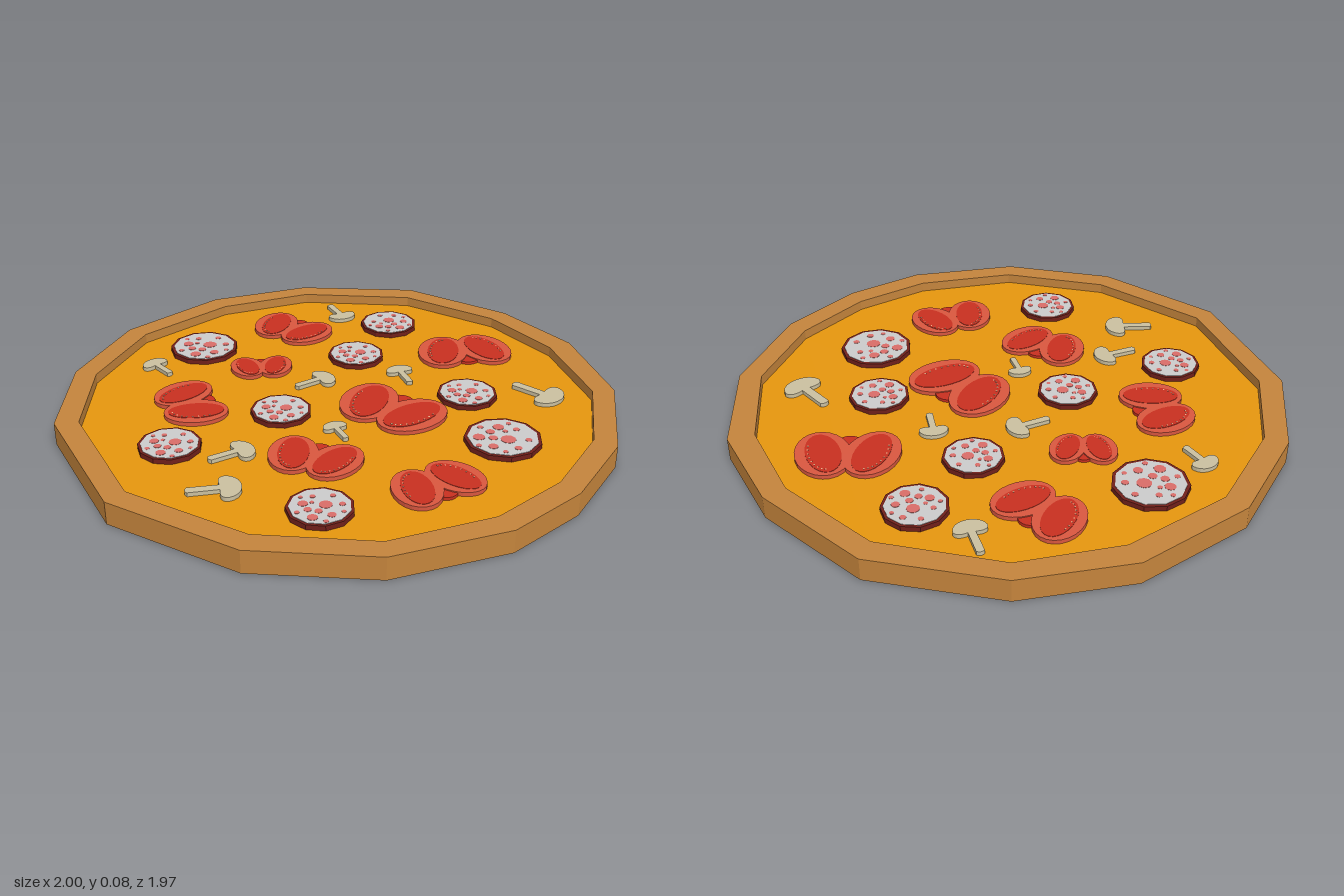
import * as THREE from 'three';
import { mergeGeometries } from 'three/addons/utils/BufferGeometryUtils.js';

const CHEESE_Y = 0.046, RIM_Y = 0.083;

const paint = (color) => new THREE.MeshStandardMaterial({ color, flatShading: true });
const mats = {
  crust: paint(0xc4843c), cheese: paint(0xe6960e), rind: paint(0x70201a), meat: paint(0xc4c0c2),
  fat: paint(0xd96c68), skin: paint(0xd9573f), flesh: paint(0xc83020), seed: paint(0xe8b088),
  mushroom: paint(0xcabf9f),
};

// Outlines as [x, z], walking clockwise from the back
const outer = [[-0.23, -0.99], [0.22, -0.98], [0.56, -0.85], [0.85, -0.56], [1, -0.18], [1, 0.16], [0.91, 0.45],
  [0.65, 0.77], [0.27, 0.965], [-0.235, 0.98], [-0.715, 0.7], [-0.925, 0.365], [-1, -0.03], [-0.89, -0.46], [-0.64, -0.77]];
const inner = [[-0.2, -0.91], [0.2, -0.9], [0.51, -0.77], [0.785, -0.51], [0.915, -0.18], [0.92, 0.13], [0.835, 0.41],
  [0.605, 0.705], [0.245, 0.885], [-0.22, 0.9], [-0.65, 0.645], [-0.845, 0.34], [-0.915, -0.03], [-0.81, -0.42], [-0.59, -0.71]];

const toVectors = (pts) => pts.map(([x, z]) => new THREE.Vector2(x, z));

// Flat slab from an [x, z] shape, between y = bottom and y = top
function slab(shape, bottom, top) {
  const geo = new THREE.ExtrudeGeometry(shape, { depth: top - bottom, bevelEnabled: false, curveSegments: 10 });
  return geo.rotateX(Math.PI / 2).translate(0, top, 0);
}

// Elliptical disc standing on y = bottom, turned about y
function disc(rx, rz, bottom, height, x = 0, z = 0, turn = 0, sides = 24) {
  return new THREE.CylinderGeometry(1, 1, height, sides).scale(rx, 1, rz).rotateY(turn)
    .translate(x, bottom + height / 2, z);
}

function add(parent, name, geo, mat) {
  const mesh = new THREE.Mesh(geo, mat);
  mesh.name = name;
  parent.add(mesh);
}

// Topping group lying on the cheese; angle is clockwise as seen from above
function place(parent, name, x, z, angle, scale) {
  const g = new THREE.Group();
  g.name = name;
  g.position.set(x, CHEESE_Y, z);
  g.rotation.y = -angle * Math.PI / 180;
  g.scale.set(scale, 1, scale);
  parent.add(g);
  return g;
}

// Salami slice of unit radius: dark rind, pale meat, spots of [x, z, radius]
function salami(parent, x, z, r, angle) {
  const g = place(parent, 'salamiSlice', x, z, angle, r);
  add(g, 'salamiRind', disc(1, 1, 0, 0.018, 0, 0, 0.15, 11), mats.rind);
  add(g, 'salamiMeat', disc(0.91, 0.91, 0.01, 0.0095, 0, 0, 0.15, 11), mats.meat);
  const spots = [[0.1, -0.14, 0.2], [-0.48, 0.16, 0.15], [0.13, 0.6, 0.16], [0.52, 0.2, 0.13], [0.1, 0.24, 0.12],
    [-0.2, 0.34, 0.12], [-0.45, -0.3, 0.09], [0.02, -0.65, 0.09], [0.48, -0.42, 0.1], [0.72, -0.12, 0.07],
    [-0.72, -0.08, 0.07], [-0.38, 0.62, 0.08], [0.55, 0.56, 0.08], [-0.3, -0.03, 0.07]];
  add(g, 'salamiSpots', mergeGeometries(spots.map(([sx, sz, sr]) =>
    disc(sr, sr, 0.018, 0.0025, sx, sz, 0, 10))), mats.fat);
}

// Tomato slice: two leaning lobes over a red core, with seeds along the outer edges
function tomato(parent, x, z, angle, scale) {
  const g = place(parent, 'tomatoSlice', x, z, angle, scale);
  add(g, 'tomatoCore', disc(0.05, 0.06, 0, 0.011, 0, -0.035), mats.flesh);
  const seeds = [];
  for (const side of [-1, 1]) {
    const lean = -side * 0.3;
    add(g, 'tomatoLobe', disc(0.086, 0.115, 0, 0.015, side * 0.075, 0, lean), mats.skin);
    add(g, 'tomatoFlesh', disc(0.054, 0.1, 0.008, 0.0085, side * 0.074, 0, lean), mats.flesh);
    for (let i = 0; i < 9; i++) {
      const a = -0.6 + i * 0.25;
      const p = new THREE.Vector3(side * 0.045 * Math.cos(a), 0, 0.085 * Math.sin(a))
        .applyAxisAngle(new THREE.Vector3(0, 1, 0), lean);
      seeds.push(disc(0.003, 0.003, 0.015, 0.0025, p.x + side * 0.074, p.z, 0, 6));
    }
  }
  add(g, 'tomatoSeeds', mergeGeometries(seeds), mats.seed);
}

// Mushroom slice: domed cap at the origin with the stem along +x
function mushroom(parent, x, z, angle, scale) {
  const g = place(parent, 'mushroomSlice', x, z, angle, scale);
  const s = new THREE.Shape();
  s.moveTo(0.15, -0.017);
  s.lineTo(0.035, -0.016);
  s.bezierCurveTo(0.04, -0.04, 0.04, -0.07, 0.01, -0.072);
  s.bezierCurveTo(-0.06, -0.06, -0.06, 0.06, 0.01, 0.072);
  s.bezierCurveTo(0.04, 0.07, 0.04, 0.04, 0.035, 0.016);
  s.lineTo(0.15, 0.017);
  s.quadraticCurveTo(0.165, 0, 0.15, -0.017);
  add(g, 'mushroomBody', slab(s, 0, 0.015), mats.mushroom);
}

export function createModel() {
  const pizza = new THREE.Group();
  pizza.name = 'pizza';

  // Crust ring, closed underside and cheese
  const ring = new THREE.Shape(toVectors(outer));
  ring.holes.push(new THREE.Path(toVectors(inner)));
  const floor = new THREE.Shape(toVectors(inner));
  add(pizza, 'crustRim', slab(ring, 0, RIM_Y), mats.crust);
  add(pizza, 'crustBase', slab(floor, 0, 0.03), mats.crust);
  add(pizza, 'cheese', slab(floor, 0.03, CHEESE_Y), mats.cheese);

  // Toppings: x, z, radius or scale and angle
  [[-0.165, -0.68, 0.113, -60], [-0.13, -0.36, 0.108, 0], [0.385, -0.295, 0.11, 0], [-0.675, -0.1, 0.132, 0],
    [0.635, -0.063, 0.135, 70], [-0.125, 0.17, 0.11, 0], [-0.31, 0.57, 0.11, 0], [0.33, 0.625, 0.11, 0]]
    .forEach(([x, z, r, angle]) => salami(pizza, x, z, r, angle));

  [[0.21, -0.62, 139, 1.12], [-0.48, -0.43, 0, 1], [-0.385, -0.08, -39, 0.72], [0.2, -0.05, 3, 1.22],
    [-0.44, 0.295, 34, 1], [0.15, 0.38, -12, 1], [0.57, 0.305, 120, 0.98]]
    .forEach(([x, z, angle, scale]) => tomato(pizza, x, z, angle, scale));

  [[-0.365, -0.645, 212, 0.8], [0.655, -0.435, 188, 1.02], [0.075, -0.335, 38, 0.72], [-0.13, -0.13, 115, 0.82],
    [-0.755, 0.115, 17, 0.72], [0.095, 0.165, 32, 0.62], [-0.08, 0.46, 118, 0.84], [0.02, 0.675, 138, 0.92]]
    .forEach(([x, z, angle, scale]) => mushroom(pizza, x, z, angle, scale));

  return pizza;
}
